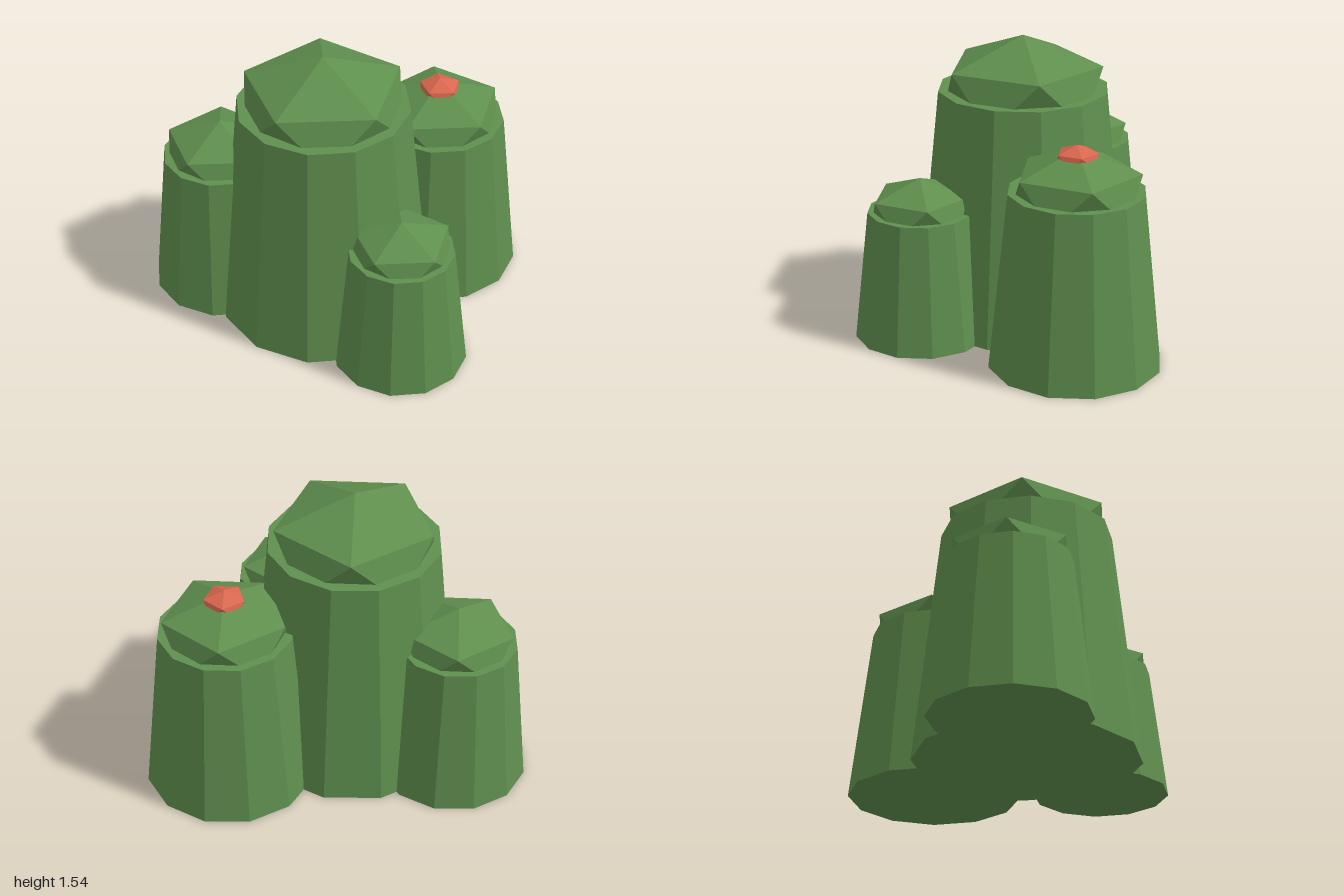
import * as THREE from 'three';

const green = new THREE.MeshStandardMaterial({ color: 0x5f8f4e, flatShading: true });
const red = new THREE.MeshStandardMaterial({ color: 0xd9674f, flatShading: true });

// Flattened icosahedron standing on one corner, with an upper-ring corner facing +x
function dome(radius) {
  const geometry = new THREE.IcosahedronGeometry(radius, 0);
  geometry.rotateZ(-Math.atan(2 / (1 + Math.sqrt(5))));
  geometry.scale(1, 0.6, 1);
  return geometry;
}

// Tapered twelve-sided stem with a faceted cap
function createColumn(name, x, z, baseRadius, height) {
  const topRadius = baseRadius * 0.778;
  const column = new THREE.Group();
  column.name = name;
  column.position.set(x, 0, z);

  const stem = new THREE.Mesh(new THREE.CylinderGeometry(topRadius, baseRadius, height, 12), green);
  stem.name = 'stem';
  stem.position.y = height / 2;

  const cap = new THREE.Mesh(dome(topRadius * 1.04), green);
  cap.name = 'cap';
  cap.position.y = height;

  column.add(stem, cap);
  return column;
}

export function createModel() {
  const model = new THREE.Group();
  model.name = 'cactusCluster';

  const right = createColumn('floweringColumn', 0.55, -0.21, 0.45, 0.927);
  model.add(
    createColumn('mainColumn', -0.155, -0.08, 0.58, 1.26),
    right,
    createColumn('backColumn', -0.6, -0.46, 0.4, 0.82),
    createColumn('frontColumn', 0.045, 0.503, 0.355, 0.69)
  );

  // Small flower sunk into the top of the flowering column
  const flower = new THREE.Mesh(dome(0.12), red);
  flower.name = 'flower';
  flower.position.y = 1.093;
  right.add(flower);

  return model;
}
